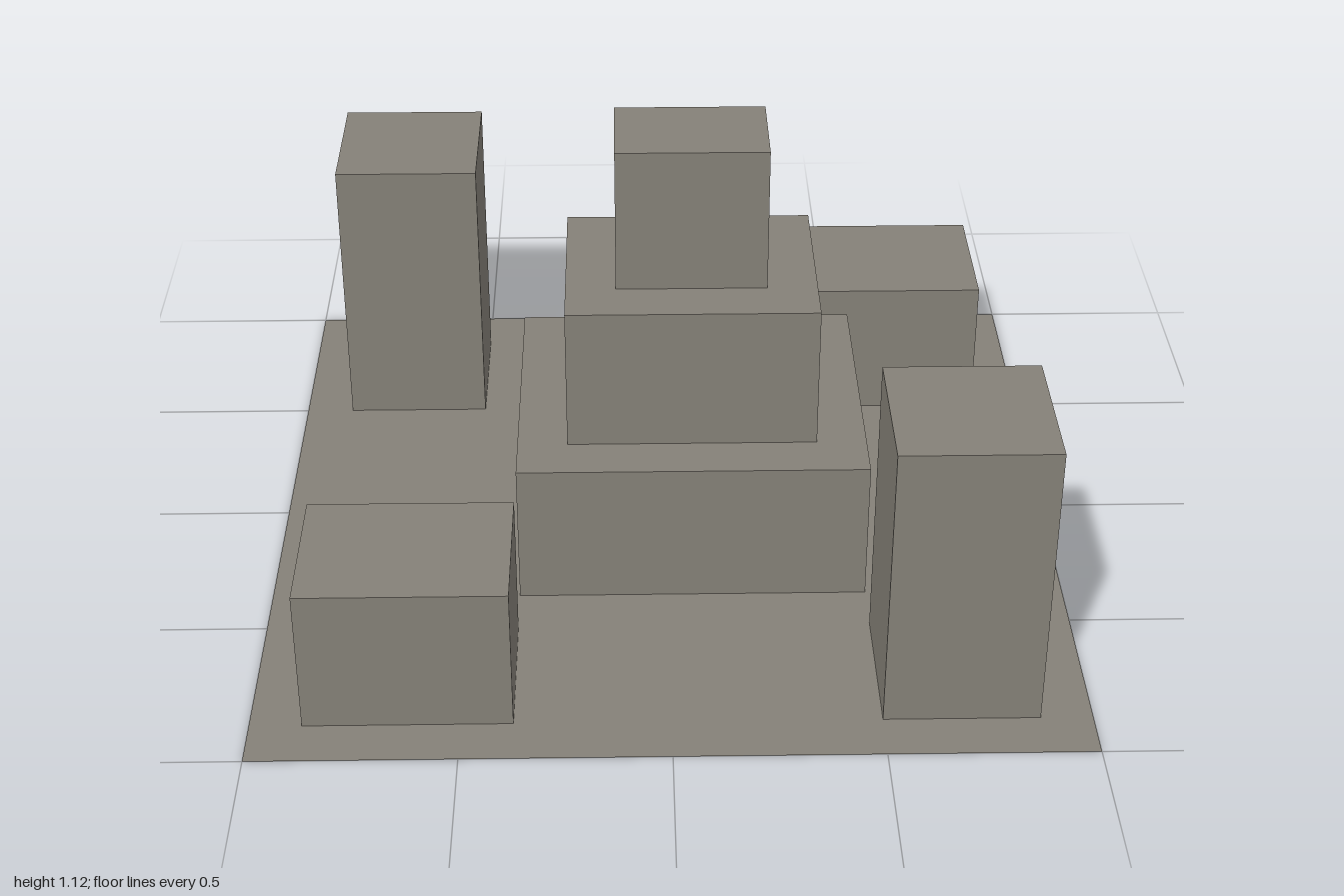
import * as THREE from 'three';

const stone = new THREE.MeshStandardMaterial({ color: 0x858178, side: THREE.DoubleSide });
stone.name = 'warm grey stone';

// Footprints are [x0, x1, z0, z1]
function outline(Type, [x0, x1, z0, z1]) {
  return new Type([[x0, -z0], [x0, -z1], [x1, -z1], [x1, -z0]].map(([x, y]) => new THREE.Vector2(x, y)));
}

// Flat horizontal sheet with rectangular openings
function sheet(name, rect, y, openings = []) {
  const shape = outline(THREE.Shape, rect);
  shape.holes = openings.map((r) => outline(THREE.Path, r));
  const geometry = new THREE.ShapeGeometry(shape).rotateX(-Math.PI / 2).translate(0, y, 0);
  const mesh = new THREE.Mesh(geometry, stone);
  mesh.name = name;
  return mesh;
}

// Four upright walls, open at top and bottom
function walls(name, [x0, x1, z0, z1], y0, y1) {
  const geometry = new THREE.CylinderGeometry(Math.SQRT1_2, Math.SQRT1_2, 1, 4, 1, true, Math.PI / 4)
    .scale(x1 - x0, y1 - y0, z1 - z0)
    .translate((x0 + x1) / 2, (y0 + y1) / 2, (z0 + z1) / 2)
    .toNonIndexed();
  geometry.computeVertexNormals();
  const mesh = new THREE.Mesh(geometry, stone);
  mesh.name = name;
  return mesh;
}

export function createModel() {
  const model = new THREE.Group();
  model.name = 'blockCourtyard';
  const step = 0.375;

  // Corner blocks: name, footprint, height
  const blocks = [
    ['backRightTower', [-0.875, -0.5, -0.875, -0.5], 2 * step],
    ['backLeftBlock', [0.375, 0.875, -0.875, -0.5], step],
    ['frontRightBlock', [-0.875, -0.375, 0.5, 0.875], step],
    ['frontLeftTower', [0.5, 0.875, 0.5, 0.875], 2 * step],
  ];
  // Hollow stepped centre, from bottom to top
  const tiers = [
    [-0.375, 0.5, -0.375, 0.375],
    [-0.25, 0.375, -0.25, 0.25],
    [-0.125, 0.25, -0.125, 0.125],
  ];

  model.add(sheet('ground', [-1, 1, -1, 1], 0, [...blocks.map((b) => b[1]), tiers[0]]));

  for (const [name, rect, height] of blocks) {
    const block = new THREE.Group();
    block.name = name;
    block.add(walls('walls', rect, 0, height), sheet('roof', rect, height));
    model.add(block);
  }

  const centre = new THREE.Group();
  centre.name = 'steppedTower';
  tiers.forEach((rect, i) => {
    const top = (i + 1) * step;
    centre.add(walls(`tierWalls${i + 1}`, rect, i * step, top));
    centre.add(sheet(`tierRoof${i + 1}`, rect, top, tiers.slice(i + 1, i + 2)));
  });
  model.add(centre);

  return model;
}
